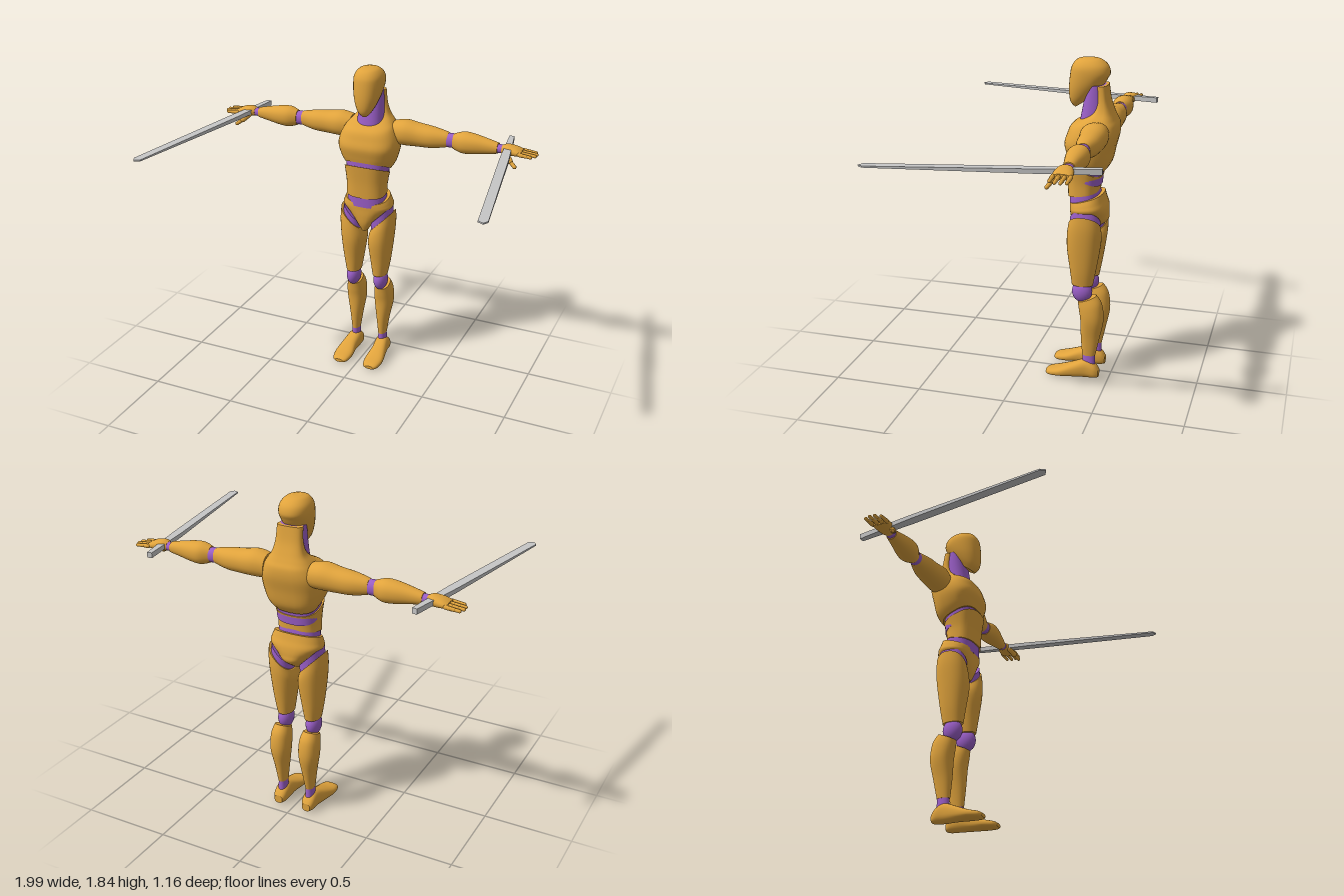
import * as THREE from 'three';

const gold = new THREE.MeshStandardMaterial({ color: 0xe0a33c });
const purple = new THREE.MeshStandardMaterial({ color: 0x9b5fc8 });
const steel = new THREE.MeshStandardMaterial({ color: 0xc6c6c6 });
gold.name = 'shell gold';
purple.name = 'joint purple';
steel.name = 'blade grey';

// Smooth closed loft along an axis. Section: [t, cu, cv, ru, rv, tiltU, tiltV], t ascending.
// (u, v) is (x, z) for axis y, (z, y) for axis x and (y, x) for axis z.
function loft(axis, rows, power = 2.2, sides = 32, steps = 5) {
  const secs = rows.map((r) => [...r, 0, 0].slice(0, 7));
  const rings = [];
  for (let i = 0; i < secs.length - 1; i++) {
    const [a, b, c, d] = [-1, 0, 1, 2].map((k) => secs[THREE.MathUtils.clamp(i + k, 0, secs.length - 1)]);
    for (let s = i ? 1 : 0; s <= steps; s++) {
      const f = s / steps, f2 = f * f, f3 = f2 * f;
      rings.push(b.map((q, k) => 0.5 * (2 * q + (c[k] - a[k]) * f
        + (2 * a[k] - 5 * q + 4 * c[k] - d[k]) * f2 + (3 * q - a[k] - 3 * c[k] + d[k]) * f3)));
    }
  }
  const pos = [], idx = [];
  const put = (u, t, v) => pos.push(...(axis === 'y' ? [u, t, v] : axis === 'x' ? [t, v, u] : [v, u, t]));
  const bend = (q) => Math.sign(q) * Math.abs(q) ** (2 / power);
  const ring = ([t, cu, cv, ru, rv, ku, kv]) => {
    for (let j = 0; j < sides; j++) {
      const an = (j / sides) * Math.PI * 2;
      const u = ru * bend(Math.cos(an)), v = rv * bend(Math.sin(an));
      put(cu + u, t + ku * u + kv * v, cv + v);
    }
  };
  rings.forEach(ring);
  for (let i = 0; i < rings.length - 1; i++) {
    for (let j = 0; j < sides; j++) {
      const a = i * sides + j, b = i * sides + (j + 1) % sides;
      idx.push(a, a + sides, b, b, a + sides, b + sides);
    }
  }
  // crisp flat caps with their own vertices
  [rings[0], rings[rings.length - 1]].forEach((r, end) => {
    const base = pos.length / 3;
    ring(r);
    put(r[1], r[0], r[2]);
    for (let j = 0; j < sides; j++) {
      const a = base + j, b = base + (j + 1) % sides;
      idx.push(base + sides, ...(end ? [b, a] : [a, b]));
    }
  });
  const g = new THREE.BufferGeometry();
  g.setAttribute('position', new THREE.Float32BufferAttribute(pos, 3));
  g.setIndex(idx);
  g.computeVertexNormals();
  return g;
}

// Reflects a geometry across x = 0, keeping faces outward
function mirrored(geo) {
  const g = geo.index ? geo.toNonIndexed() : geo.clone();
  for (const at of Object.values(g.attributes)) {
    const n = at.itemSize, arr = at.array;
    for (let i = 0; i < arr.length; i += 3 * n) {
      for (let k = 0; k < n; k++) [arr[i + n + k], arr[i + 2 * n + k]] = [arr[i + 2 * n + k], arr[i + n + k]];
    }
  }
  for (const key of ['position', 'normal']) {
    const at = g.attributes[key];
    for (let i = 0; i < at.count; i++) at.setX(i, -at.getX(i));
  }
  return g;
}

// Capsule between two points
function bone(a, b, r) {
  const p = new THREE.Vector3(...a), q = new THREE.Vector3(...b);
  const dir = q.clone().sub(p);
  const g = new THREE.CapsuleGeometry(r, dir.length(), 4, 10);
  g.applyQuaternion(new THREE.Quaternion().setFromUnitVectors(new THREE.Vector3(0, 1, 0), dir.normalize()));
  return g.translate(...p.add(q).multiplyScalar(0.5).toArray());
}

// Flat sword, thickest at the grip
function swordGeometry() {
  const outline = [[-0.014, -0.59], [0.014, -0.59], [0.025, -0.25], [0.025, 0.565], [0.004, 0.59], [-0.025, 0.57], [-0.025, -0.25]];
  const shape = new THREE.Shape(outline.map(([x, y]) => new THREE.Vector2(x, y)));
  const g = new THREE.ExtrudeGeometry(shape, { depth: 1, bevelEnabled: false });
  g.translate(0, 0, -0.5).rotateX(Math.PI / 2);
  const p = g.attributes.position;
  for (let i = 0; i < p.count; i++) p.setY(i, p.getY(i) * THREE.MathUtils.mapLinear(p.getZ(i), -0.59, 0.59, 0.03, 0.008));
  g.computeVertexNormals();
  return g.rotateX(0.005).rotateY(0.172).translate(0.872, 1.449, -0.005);
}

export function createModel() {
  const root = new THREE.Group();
  root.name = 'jointedMannequin';
  const add = (name, geo, mat = gold) => {
    const m = new THREE.Mesh(geo, mat);
    m.name = name;
    root.add(m);
  };
  const pair = (name, geo, mat) => {
    add(name + 'Left', geo, mat);
    add(name + 'Right', mirrored(geo), mat);
  };

  // Head and neck
  add('head', loft('y', [[1.61, 0, -0.325, 0.035, 0.06, 0, -0.7], [1.65, 0, -0.33, 0.06, 0.092, 0, -0.55],
    [1.7, 0, -0.335, 0.078, 0.105, 0, -0.3], [1.76, 0, -0.345, 0.086, 0.108], [1.8, 0, -0.345, 0.08, 0.097],
    [1.83, 0, -0.34, 0.056, 0.067], [1.84, 0, -0.34, 0.025, 0.03]]));
  add('neck', loft('y', [[1.46, 0, -0.36, 0.08, 0.072], [1.58, 0, -0.375, 0.074, 0.066], [1.7, 0, -0.38, 0.07, 0.05]]), purple);

  // Torso: chest runs up into the nape
  add('chest', loft('y', [[1.26, 0, -0.335, 0.13, 0.098, 0, 0.42], [1.3, 0, -0.35, 0.155, 0.12, 0, 0.25],
    [1.37, 0, -0.355, 0.175, 0.135, 0, 0.1], [1.43, 0, -0.37, 0.172, 0.138], [1.485, 0, -0.383, 0.148, 0.126],
    [1.52, 0, -0.408, 0.122, 0.086], [1.56, 0, -0.425, 0.093, 0.052], [1.62, 0, -0.425, 0.077, 0.032],
    [1.7, 0, -0.415, 0.072, 0.03]], 2.8));
  add('waistJoint', loft('y', [[1.18, 0, -0.33, 0.12, 0.09, 0, 0.4], [1.29, 0, -0.335, 0.125, 0.094, 0, 0.4]], 2.6), purple);
  add('abdomen', loft('y', [[1.095, 0, -0.325, 0.118, 0.085, 0, -0.17], [1.165, 0, -0.325, 0.119, 0.09, 0, 0.1],
    [1.24, 0, -0.325, 0.13, 0.102, 0, 0.4]], 2.6));
  add('lowerBackJoint', loft('y', [[1.02, 0, -0.335, 0.118, 0.086], [1.11, 0, -0.328, 0.113, 0.081, 0, -0.17]], 2.5), purple);
  add('pelvis', loft('y', [[0.87, 0, -0.33, 0.02, 0.055, 0, -0.2], [0.92, 0, -0.358, 0.06, 0.1, 0, -0.15],
    [0.965, 0, -0.358, 0.102, 0.106, 0, -0.1], [1.01, 0, -0.355, 0.148, 0.104, 0, -0.1],
    [1.04, 0, -0.348, 0.145, 0.098, 0, -0.2], [1.07, 0, -0.343, 0.132, 0.093, 0, -0.3]], 2.4));

  // Legs
  pair('hipJoint', loft('y', [[0.88, 0.092, -0.35, 0.062, 0.083, 1, 0], [0.955, 0.085, -0.35, 0.06, 0.084, 1, 0]]), purple);
  pair('thigh', loft('y', [[0.57, 0.085, -0.34, 0.042, 0.06], [0.66, 0.086, -0.342, 0.057, 0.074],
    [0.78, 0.087, -0.343, 0.072, 0.092, 0.3], [0.86, 0.09, -0.347, 0.077, 0.096, 0.7], [0.92, 0.094, -0.35, 0.07, 0.09, 1]]));
  pair('knee', new THREE.SphereGeometry(1, 24, 16).scale(0.042, 0.066, 0.058).translate(0.088, 0.53, -0.34), purple);
  pair('calf', loft('y', [[0.14, 0.088, -0.385, 0.024, 0.038], [0.25, 0.088, -0.392, 0.038, 0.054],
    [0.36, 0.09, -0.4, 0.056, 0.066], [0.44, 0.09, -0.39, 0.055, 0.065, 0, -0.3], [0.49, 0.09, -0.37, 0.044, 0.052, 0, -0.4]]));
  pair('ankle', loft('y', [[0.08, 0.088, -0.385, 0.026, 0.038], [0.15, 0.088, -0.385, 0.022, 0.035]]), purple);
  pair('foot', loft('z', [[-0.445, 0.032, 0.09, 0.024, 0.025], [-0.42, 0.045, 0.09, 0.043, 0.038],
    [-0.37, 0.055, 0.09, 0.055, 0.042], [-0.3, 0.043, 0.098, 0.043, 0.046], [-0.22, 0.027, 0.1, 0.027, 0.056],
    [-0.16, 0.019, 0.1, 0.019, 0.046], [-0.14, 0.016, 0.1, 0.01, 0.025]], 2.5));

  // Arms
  pair('upperArm', loft('x', [[0.13, -0.415, 1.455, 0.066, 0.066], [0.2, -0.415, 1.46, 0.076, 0.073],
    [0.28, -0.418, 1.455, 0.069, 0.066], [0.36, -0.418, 1.452, 0.062, 0.06], [0.43, -0.418, 1.452, 0.044, 0.048],
    [0.455, -0.418, 1.452, 0.036, 0.041]]));
  pair('elbow', loft('x', [[0.435, -0.417, 1.451, 0.034, 0.038], [0.47, -0.417, 1.451, 0.037, 0.041], [0.505, -0.417, 1.45, 0.034, 0.038]]), purple);
  pair('forearm', loft('x', [[0.488, -0.415, 1.45, 0.036, 0.044], [0.54, -0.417, 1.45, 0.058, 0.06],
    [0.6, -0.416, 1.45, 0.057, 0.057], [0.68, -0.415, 1.449, 0.042, 0.043], [0.745, -0.415, 1.447, 0.031, 0.03]]));
  pair('wrist', loft('x', [[0.73, -0.415, 1.447, 0.028, 0.025], [0.785, -0.413, 1.447, 0.026, 0.022]]), purple);
  pair('palm', loft('x', [[0.77, -0.413, 1.447, 0.028, 0.024], [0.8, -0.413, 1.45, 0.042, 0.03],
    [0.85, -0.413, 1.447, 0.05, 0.024], [0.882, -0.413, 1.443, 0.046, 0.014]]));

  // Four fingers of three segments each, and a thumb of two
  [0.955, 0.967, 0.965, 0.945].forEach((tip, i) => {
    const z = -0.457 + 0.029 * i, step = (tip - 0.875) / 3;
    for (let k = 0; k < 3; k++) {
      const x = 0.875 + k * step;
      pair(`finger${i + 1}Segment${k + 1}`, bone([x, 1.443 - k * 0.002, z], [x + step * 0.75, 1.441 - k * 0.002, z], 0.0115 - k * 0.001));
    }
  });
  pair('thumbBase', bone([0.8, 1.435, -0.378], [0.832, 1.405, -0.355], 0.016));
  pair('thumbTip', bone([0.838, 1.4, -0.352], [0.864, 1.382, -0.338], 0.011));

  // Swords held across the palms
  pair('sword', swordGeometry(), steel);
  return root;
}
